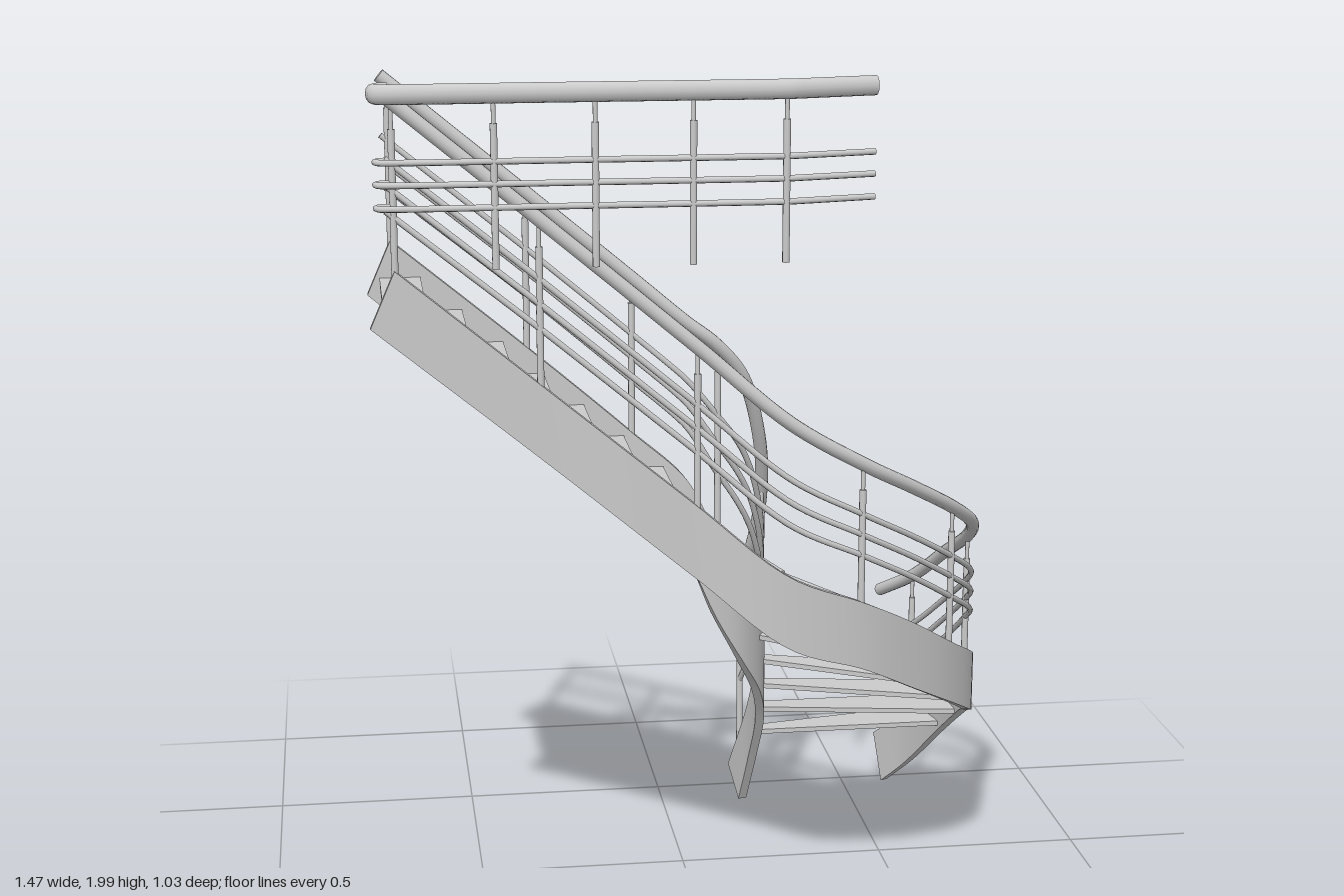
import * as THREE from 'three';

const mat = new THREE.MeshStandardMaterial({ color: 0xcccccc });
const V = (x, y, z) => new THREE.Vector3(x, y, z);
const spline = (pts) => new THREE.CatmullRomCurve3(pts, false, 'centripetal');

function add(parent, geometry, name) {
  const mesh = new THREE.Mesh(geometry, mat);
  mesh.name = name;
  parent.add(mesh);
  return mesh;
}

// Round bar along a curve, closed with a flat disc at each end
function bar(parent, curve, r, name, segments = 80, sides = 12) {
  const g = new THREE.Group();
  g.name = name;
  parent.add(g);
  add(g, new THREE.TubeGeometry(curve, segments, r, sides), name + 'Tube');
  for (const t of [0, 1]) {
    const cap = add(g, new THREE.CircleGeometry(r, sides), name + 'Cap');
    const p = curve.getPointAt(t), d = curve.getTangentAt(t).multiplyScalar(t ? 1 : -1);
    cap.position.copy(p);
    cap.lookAt(p.clone().add(d));
  }
  return g;
}

// Vertical rod between two heights
function rod(parent, x, z, y0, y1, r, name) {
  add(parent, new THREE.CylinderGeometry(r, r, y1 - y0, 10), name).position.set(x, (y0 + y1) / 2, z);
}

// Baluster: stout post with a thin pin up to the handrail
function baluster(parent, x, z, y0, y1) {
  rod(parent, x, z, y0, y1 - 0.06, 0.008, 'balusterPost');
  rod(parent, x, z, y1 - 0.065, y1, 0.005, 'balusterPin');
}

// Rectangular plank swept between a lower and an upper edge curve
function stringerGeometry(lower, upper, thickness, n = 64) {
  const pos = [], index = [], rings = [];
  for (let i = 0; i <= n; i++) {
    const t = i / n;
    const side = lower.getTangent(t).add(upper.getTangent(t)).setY(0).normalize()
      .cross(V(0, 1, 0)).multiplyScalar(thickness / 2);
    const b = lower.getPoint(t), u = upper.getPoint(t);
    rings.push([b.clone().sub(side), b.clone().add(side), u.clone().add(side), u.clone().sub(side)]);
  }
  const put = (v) => pos.push(v.x, v.y, v.z) / 3 - 1;
  for (let k = 0; k < 4; k++) {
    rings.forEach((ring, i) => {
      const a = put(ring[k]);
      put(ring[(k + 1) % 4]);
      if (i < n) index.push(a, a + 2, a + 1, a + 1, a + 2, a + 3);
    });
  }
  for (const [ring, flip] of [[rings[0], false], [rings[n], true]]) {
    const [a, b, c, d] = ring.map(put);
    index.push(...(flip ? [a, c, b, a, d, c] : [a, b, c, a, c, d]));
  }
  const geo = new THREE.BufferGeometry();
  geo.setAttribute('position', new THREE.Float32BufferAttribute(pos, 3));
  geo.setIndex(index);
  geo.computeVertexNormals();
  return geo;
}

// One side of the flight. Rows run bottom to top: x, z, plank bottom, plank top, handrail
function flightSide(root, name, rows, ends, posts, railStart) {
  const g = new THREE.Group();
  g.name = name;
  root.add(g);
  const edge = (k) => rows.map((r) => V(r[0], r[k], r[1]));
  const low = edge(2), top = edge(3), last = rows.length - 1;
  // Square-cut plank ends
  low[0] = V(...ends.low);
  top[0] = V(...ends.top);
  low[last] = V(-0.74, 1.475, rows[last][1]);
  top[last] = V(-0.685, 1.6, rows[last][1]);
  const lower = spline(low), upper = spline(top), hand = spline(edge(4));
  add(g, stringerGeometry(lower, upper, 0.022), 'stringer');
  bar(g, hand, 0.016, 'handrail', 100);
  // Three thin rails follow the space between plank and handrail
  for (const f of [0.36, 0.51, 0.66]) {
    const pts = [];
    for (let i = 0; i <= 40; i++) {
      const t = THREE.MathUtils.lerp(railStart / last, 1, i / 40);
      const p = hand.getPoint(t);
      p.y = THREE.MathUtils.lerp(p.y, upper.getPoint(t).y, f);
      pts.push(p);
    }
    bar(g, spline(pts), 0.007, 'infillRail', 80, 8);
  }
  for (const k of posts) {
    const h = hand.getPoint(k / last), u = upper.getPoint(k / last);
    baluster(g, h.x, h.z, u.y - 0.03, h.y);
  }
}

export function createModel() {
  const root = new THREE.Group();
  root.name = 'curvedStaircase';

  flightSide(root, 'outerSide', [
    [0.6, -0.505, 0.005, 0.13, 0.535], [0.66, -0.38, 0.09, 0.235, 0.61],
    [0.705, -0.22, 0.235, 0.365, 0.72], [0.717, -0.04, 0.355, 0.495, 0.815],
    [0.69, 0.1, 0.41, 0.56, 0.89], [0.61, 0.225, 0.48, 0.63, 0.965],
    [0.49, 0.33, 0.56, 0.72, 1.045], [0.355, 0.41, 0.64, 0.8, 1.125],
    [0.18, 0.455, 0.71, 0.88, 1.235], [-0.03, 0.458, 0.885, 1.055, 1.415],
    [-0.375, 0.458, 1.175, 1.342, 1.705], [-0.7, 0.458, 1.445, 1.61, 1.975],
  ], { low: [0.615, 0.005, -0.47], top: [0.6, 0.13, -0.508] }, [1, 3, 5, 7, 9, 10, 10.95], 1);

  flightSide(root, 'innerSide', [
    [0.165, -0.36, 0.05, 0.13, 0.53], [0.208, -0.2, 0.2, 0.36, 0.79],
    [0.212, -0.12, 0.33, 0.53, 0.95], [0.19, -0.05, 0.43, 0.64, 1.1],
    [0.14, 0.01, 0.53, 0.75, 1.25], [0.07, 0.045, 0.66, 0.87, 1.335],
    [0, 0.057, 0.81, 1.01, 1.39], [-0.13, 0.057, 0.955, 1.13, 1.5],
    [-0.375, 0.057, 1.165, 1.342, 1.705], [-0.7, 0.057, 1.445, 1.61, 1.975],
  ], { low: [0.195, 0.05, -0.28], top: [0.175, 0.13, -0.33] }, [0.45, 2, 4.9, 7, 8, 8.95], 0.45);

  // Tread edges: inner x, z then outer x, z; winders first, then the straight run
  const edges = [
    [0.21, -0.247, 0.675, -0.332], [0.21, -0.21, 0.7, -0.21], [0.21, -0.167, 0.715, -0.08],
    [0.21, -0.125, 0.695, 0.042], [0.2, -0.09, 0.635, 0.163], [0.185, -0.05, 0.555, 0.268],
    [0.155, -0.018, 0.445, 0.35], [0.115, 0.015, 0.322, 0.408], [0.063, 0.042, 0.172, 0.442],
    [0, 0.057, 0.046, 0.45],
  ];
  for (let i = 0; i < 8; i++) {
    const x = -0.057 - i * 0.0935;
    edges.push([x, 0.057, x, 0.45]);
  }
  const treads = new THREE.Group();
  treads.name = 'treads';
  root.add(treads);
  for (let i = 0; i < edges.length - 1; i++) {
    const [a, b] = [edges[i], edges[i + 1]];
    const shape = new THREE.Shape([[a[0], a[1]], [a[2], a[3]], [b[2], b[3]], [b[0], b[1]]]
      .map((p) => new THREE.Vector2(...p)));
    const geo = new THREE.ExtrudeGeometry(shape, { depth: 0.012, bevelEnabled: false });
    add(treads, geo.rotateX(Math.PI / 2), 'tread').position.y = 0.265 + i * 0.0781;
  }

  // Landing balustrade, turning back from the top of the outer handrail
  const landing = new THREE.Group();
  landing.name = 'landingBalustrade';
  root.add(landing);
  const path = spline([
    [-0.69, 0.458], [-0.712, 0.462], [-0.72, 0.476], [-0.712, 0.49], [-0.69, 0.495],
    [-0.3, 0.495], [0.14, 0.495], [0.17, 0.493], [0.2, 0.486], [0.36, 0.447],
  ].map(([x, z]) => V(x, 0, z)));
  const rail = bar(landing, path, 0.016, 'landingHandrail', 120);
  rail.scale.y = 1.35;
  rail.position.y = 1.978;
  for (const y of [1.835, 1.787, 1.737]) bar(landing, path, 0.007, 'landingInfillRail', 120, 8).position.y = y;
  for (const x of [-0.47, -0.255, -0.045, 0.157]) baluster(landing, x, 0.495, 1.605, 1.975);

  return root;
}
